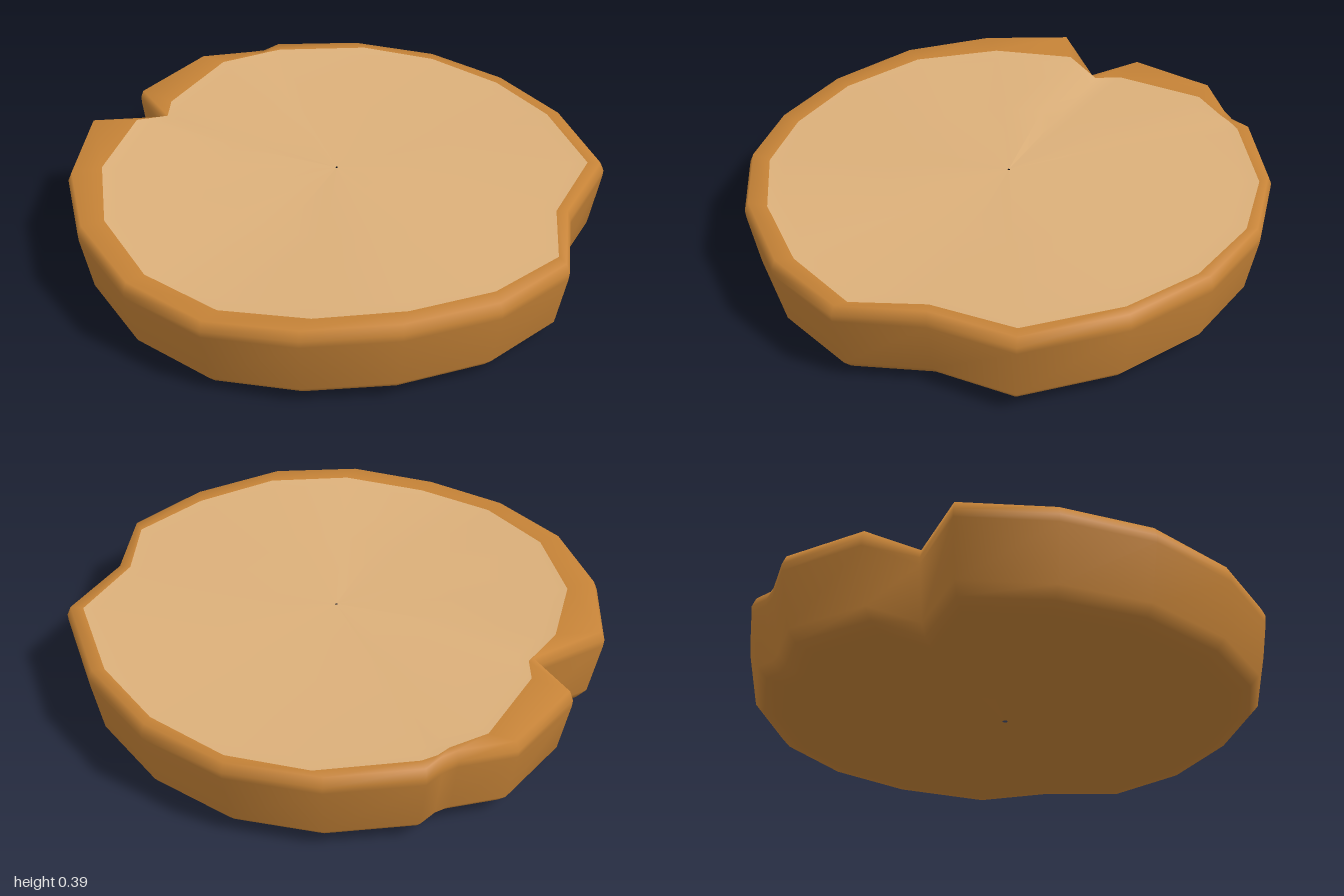
import * as THREE from 'three';

// One entry per corner: outer x, outer z, inner x, inner z, rim height
const outline = [
  [-0.02, -1.0, -0.02, -0.94, 0.37], [0.32, -0.94, 0.34, -0.88, 0.365],
  [0.62, -0.77, 0.6, -0.72, 0.36], [0.84, -0.5, 0.8, -0.46, 0.36],
  [0.97, -0.16, 0.91, -0.16, 0.365], [0.99, 0.24, 0.93, 0.22, 0.37],
  [0.76, 0.49, 0.71, 0.47, 0.35], [0.64, 0.79, 0.62, 0.73, 0.345],
  [0.34, 0.95, 0.34, 0.87, 0.35], [-0.02, 1.0, 0.02, 0.92, 0.365],
  [-0.36, 0.94, -0.3, 0.87, 0.355], [-0.66, 0.78, -0.59, 0.72, 0.33],
  [-0.88, 0.52, -0.8, 0.48, 0.34], [-1.0, 0.18, -0.9, 0.16, 0.365],
  [-1.0, -0.17, -0.87, -0.18, 0.375], [-0.88, -0.5, -0.7, -0.46, 0.395],
  [-0.6, -0.53, -0.57, -0.53, 0.355], [-0.65, -0.75, -0.54, -0.63, 0.36],
  [-0.36, -0.96, -0.28, -0.88, 0.375], [-0.15, -0.95, -0.13, -0.91, 0.375],
  [-0.09, -0.96, -0.08, -0.93, 0.37],
];

const baseHeight = (top) => Math.max(0, (top - 0.36) * 0.75 + 0.024);

// Joins closed rings of points into one smooth surface
function skin(rings) {
  const n = outline.length;
  const index = [];
  for (let r = 0; r < rings.length - 1; r++) {
    for (let i = 0; i < n; i++) {
      const a = r * n + i, b = r * n + (i + 1) % n;
      index.push(a, a + n, b, b, a + n, b + n);
    }
  }
  const geometry = new THREE.BufferGeometry();
  geometry.setAttribute('position', new THREE.Float32BufferAttribute(rings.flat(2), 3));
  geometry.setIndex(index);
  geometry.computeVertexNormals();
  return geometry;
}

export function createModel() {
  const crust = new THREE.MeshStandardMaterial({ color: 0xc68337 });
  crust.name = 'crustBrown';
  const face = new THREE.MeshStandardMaterial({ color: 0xdcb07a });
  face.name = 'paleTan';

  // Underside, wall and rounded rim: [scale of outline, height fraction]
  const profile = [[0.01, 0], [0.6, 0], [0.85, 0], [0.925, 0.05], [0.96, 0.17], [0.998, 0.8], [1, 0.88], [0.985, 0.985]];
  const shellRings = profile.map(([s, t]) => outline.map(([x, z, , , top]) => {
    const blend = Math.min(1, s / 0.85);
    const low = THREE.MathUtils.lerp(0.022, baseHeight(top), blend);
    return [x * s, THREE.MathUtils.lerp(low, top, t), z * s];
  }));
  shellRings.push(outline.map(([, , x, z, top]) => [x, top - 0.008, z]));

  // Slightly dished upper face inside the rim
  const faceRings = [1, 0.94, 0.5, 0.005].map((s) => outline.map(([, , x, z, top]) =>
    [x * s, THREE.MathUtils.lerp(0.348, top - 0.008, s * s) - (s < 1 ? 0.002 : 0), z * s]));

  const group = new THREE.Group();
  group.name = 'notchedDisc';
  const shell = new THREE.Mesh(skin(shellRings), crust);
  shell.name = 'crustShell';
  const upper = new THREE.Mesh(skin(faceRings), face);
  upper.name = 'upperFace';
  group.add(shell, upper);
  return group;
}
